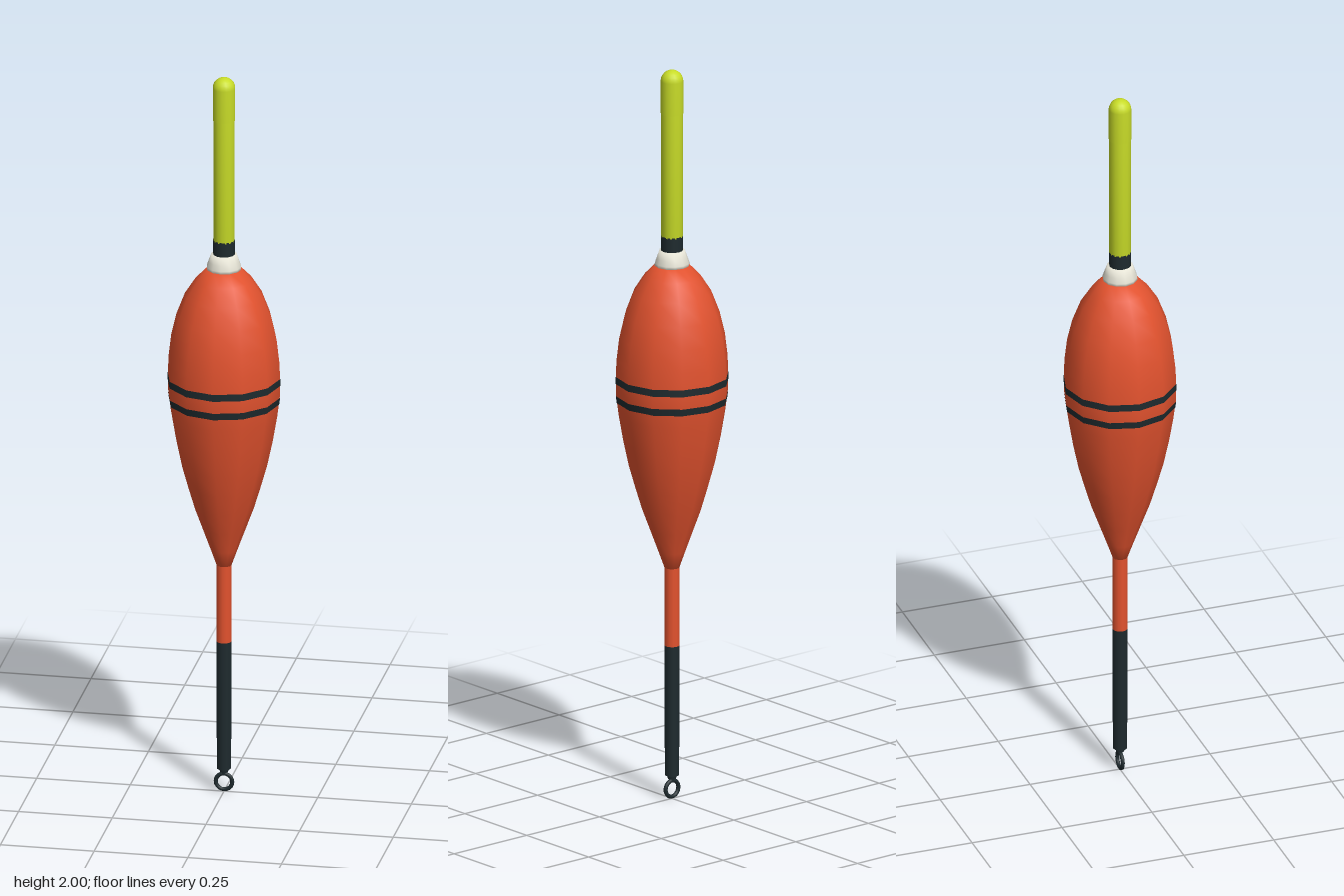
import * as THREE from 'three';

const SIDES = 12;

function material(name, color, side = THREE.FrontSide) {
  const m = new THREE.MeshStandardMaterial({ color, side });
  m.name = name;
  return m;
}

export function createModel() {
  const model = new THREE.Group();
  model.name = 'fishingFloat';

  const orange = material('orangeRed', 0xe2522e);
  const yellow = material('fluorescentYellow', 0xc8dc28);
  const dark = material('darkSlate', 0x1e2a2e);
  const cream = material('cream', 0xe6e4d6);

  const add = (name, geometry, mat) => {
    const mesh = new THREE.Mesh(geometry, mat);
    mesh.name = name;
    model.add(mesh);
    return mesh;
  };
  const lathe = (points, sides = SIDES) =>
    new THREE.LatheGeometry(points.map(([r, y]) => new THREE.Vector2(r, y)), sides);
  const rod = (name, rTop, rBottom, y0, y1, mat, sides = SIDES) => {
    const mesh = add(name, new THREE.CylinderGeometry(rTop, rBottom, y1 - y0, sides), mat);
    mesh.position.y = (y0 + y1) / 2;
    return mesh;
  };

  // Teardrop body, smooth around a twelve-sided outline
  add('body', lathe([
    [0, 0.63], [0.02, 0.635], [0.036, 0.68], [0.058, 0.74], [0.08, 0.8],
    [0.098, 0.86], [0.115, 0.92], [0.13, 0.99], [0.142, 1.06], [0.149, 1.115],
    [0.15, 1.155], [0.148, 1.21], [0.141, 1.27], [0.127, 1.33],
    [0.104, 1.39], [0.075, 1.435], [0.044, 1.467], [0, 1.467],
  ]), orange);

  // Two thin painted bands, following the body's slope
  [[0.1465, 1.094, 0.149, 1.113], [0.1501, 1.147, 0.1497, 1.166]].forEach(([r0, y0, r1, y1], i) => {
    add(i ? 'upperBand' : 'lowerBand',
      lathe([[r0 + 0.0008, y0], [r1 + 0.0008, y1]]), dark);
  });

  // Stem with a dark lower half
  rod('upperStem', 0.02, 0.02, 0.42, 0.64, orange);
  rod('lowerStem', 0.0205, 0.019, 0.065, 0.421, dark);
  rod('stemFerrule', 0.013, 0.011, 0.055, 0.066, dark);

  // Line eye at the foot
  const eye = add('lineEye', new THREE.TorusGeometry(0.022, 0.0055, 8, 20), dark);
  eye.position.y = 0.0275;
  rod('eyeShank', 0.006, 0.006, 0.047, 0.058, dark, 8);

  // Collar between body and antenna
  add('collar', lathe([
    [0, 1.462], [0.046, 1.462], [0.046, 1.472], [0.041, 1.486], [0.034, 1.506], [0, 1.506],
  ]), cream);
  rod('antennaBand', 0.029, 0.029, 1.504, 1.546, dark);

  // Bright antenna with a domed tip
  const antenna = [[0, 1.543], [0.0285, 1.543], [0.0285, 1.88], [0.03, 1.882]];
  for (let i = 0; i <= 6; i++) {
    const a = (i / 6) * Math.PI / 2;
    antenna.push([i === 6 ? 0 : 0.03 * Math.cos(a), 1.97 + 0.03 * Math.sin(a)]);
  }
  add('antenna', lathe(antenna, 16), yellow);

  return model;
}
